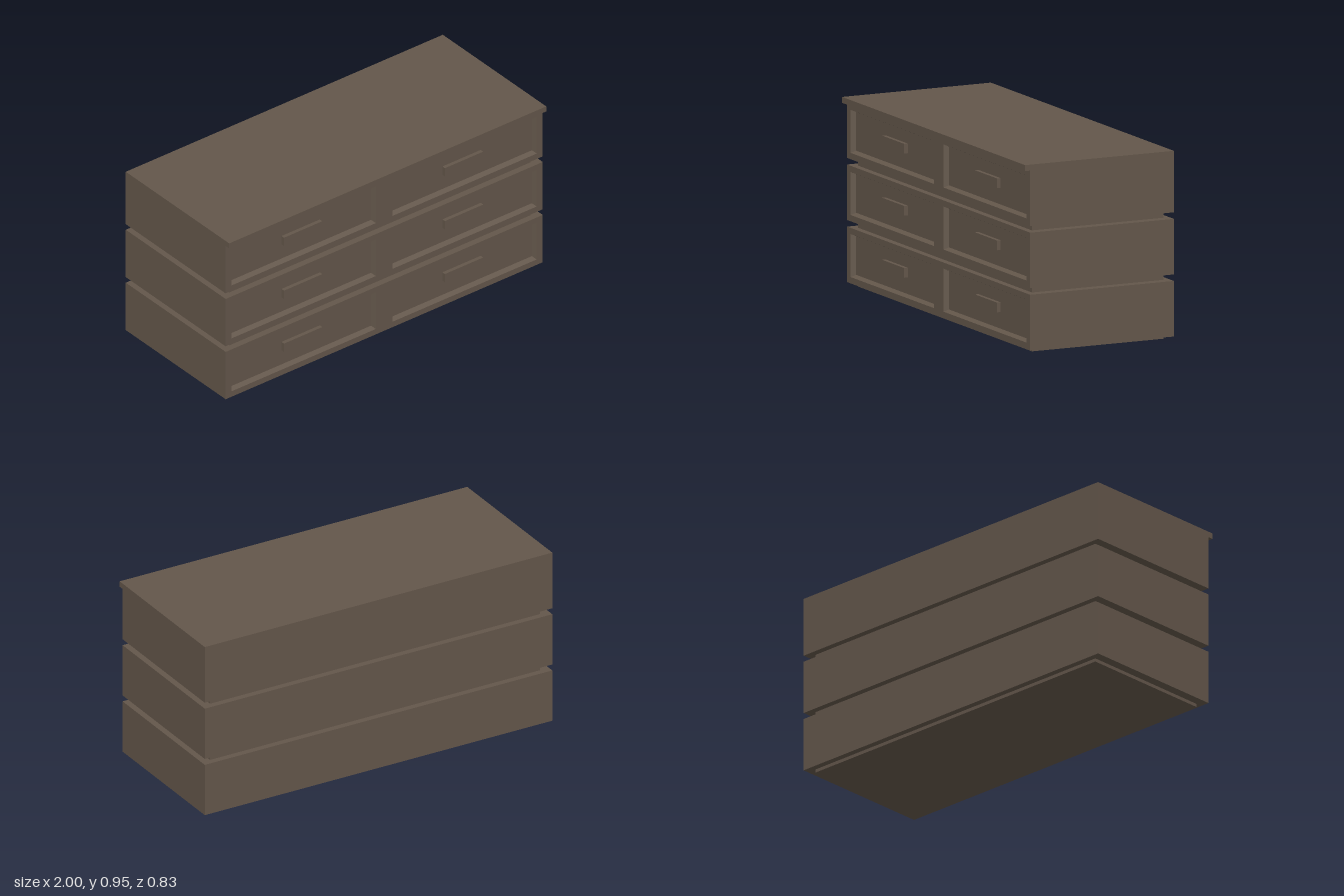
import * as THREE from 'three';

export function createModel() {
  const group = new THREE.Group();
  group.name = 'dresser';
  const wood = new THREE.MeshStandardMaterial({ color: 0x63564a });
  wood.name = 'brown wood';

  const FRONT = 0.385, BACK = -0.413, DEPTH = 0.025, TIER = 0.28, GAP = 0.033;

  const add = (parent, name, geo, x = 0, y = 0, z = 0) => {
    const mesh = new THREE.Mesh(geo, wood);
    mesh.name = name;
    mesh.position.set(x, y, z);
    parent.add(mesh);
    return mesh;
  };
  const box = (parent, name, x0, x1, y0, y1, z0, z1) =>
    add(parent, name, new THREE.BoxGeometry(x1 - x0, y1 - y0, z1 - z0),
      (x0 + x1) / 2, (y0 + y1) / 2, (z0 + z1) / 2);

  // corners of a rectangle, anticlockwise from the front
  const rect = (x0, x1, y0, y1) => [[x0, y0], [x1, y0], [x1, y1], [x0, y1]];

  // sloped rim running from the outer opening back to the drawer panel
  const rimGeometry = (outer, inner) => {
    const pos = [];
    for (let i = 0; i < 4; i++) {
      const j = (i + 1) % 4;
      const a = [...outer[i], FRONT], b = [...outer[j], FRONT];
      const c = [...inner[j], FRONT - DEPTH], d = [...inner[i], FRONT - DEPTH];
      pos.push(...a, ...b, ...c, ...a, ...c, ...d);
    }
    const geo = new THREE.BufferGeometry();
    geo.setAttribute('position', new THREE.Float32BufferAttribute(pos, 3));
    geo.computeVertexNormals();
    return geo;
  };

  // one tier: open-fronted case, face frame and two drawers
  const makeTier = (base, height) => {
    const tier = new THREE.Group();
    tier.name = 'drawerTier';
    tier.position.y = base;
    const caseMesh = box(tier, 'case', -1, 1, 0, height, BACK, FRONT);
    const index = Array.from(caseMesh.geometry.index.array);
    index.splice(24, 6); // leave out the front face
    caseMesh.geometry.setIndex(index);
    caseMesh.geometry.clearGroups();

    const toPoints = (r) => r.map(([x, y]) => new THREE.Vector2(x, y));
    const frame = new THREE.Shape(toPoints(rect(-1, 1, 0, height)));
    for (const [x0, x1, side] of [[-0.962, -0.053, 'right'], [0.053, 0.962, 'left']]) {
      const y0 = 0.032, y1 = 0.249, inset = 0.011;
      const outer = rect(x0, x1, y0, y1);
      const inner = rect(x0 + inset, x1 - inset, y0 + inset, y1 - inset);
      frame.holes.push(new THREE.Path(toPoints(outer).reverse()));
      add(tier, side + 'DrawerRim', rimGeometry(outer, inner));
      add(tier, side + 'DrawerPanel', new THREE.ShapeGeometry(new THREE.Shape(toPoints(inner))),
        0, 0, FRONT - DEPTH);
      const cx = (x0 + x1) / 2;
      box(tier, side + 'Handle', cx - 0.121, cx + 0.121, 0.127, 0.176,
        FRONT - DEPTH, FRONT - 0.005);
    }
    add(tier, 'faceFrame', new THREE.ShapeGeometry(frame), 0, 0, FRONT);
    group.add(tier);
  };

  // base plinth, then tiers separated by recessed spacers
  box(group, 'plinth', -0.95, 0.95, 0, 0.017, -0.38, 0.35);
  for (let i = 0; i < 3; i++) {
    const base = 0.017 + i * (TIER + GAP);
    makeTier(base, TIER);
    if (i < 2) box(group, 'spacer', -0.95, 0.95, base + TIER, base + TIER + GAP, -0.38, 0.35);
  }

  // top board overhanging the front
  box(group, 'topBoard', -1, 1, 0.923, 0.953, BACK, 0.413);
  return group;
}
